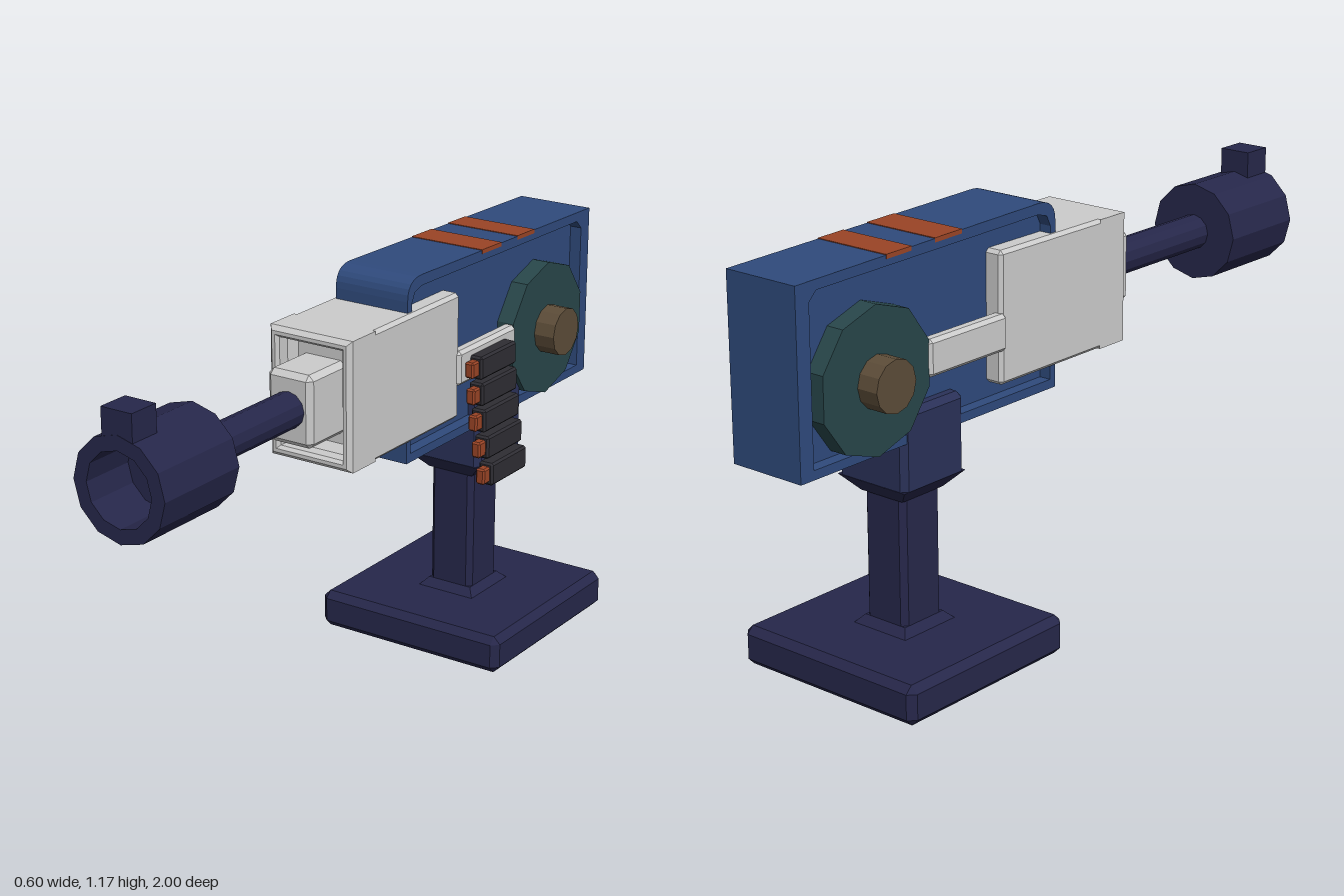
import * as THREE from 'three';
import { ConvexGeometry } from 'three/addons/geometries/ConvexGeometry.js';

const mat = (color) => new THREE.MeshStandardMaterial({ color, flatShading: true });

// Box with chamfered edges, given by its min/max on each axis
function chamferBox([x0, x1], [y0, y1], [z0, z1], c) {
  const half = [(x1 - x0) / 2, (y1 - y0) / 2, (z1 - z0) / 2];
  const pts = [];
  for (const sx of [-1, 1]) for (const sy of [-1, 1]) for (const sz of [-1, 1]) {
    for (let face = 0; face < 3; face++) {
      const h = half.map((v, i) => (i === face ? v : v - c));
      pts.push(new THREE.Vector3(sx * h[0], sy * h[1], sz * h[2]));
    }
  }
  return new ConvexGeometry(pts).translate((x0 + x1) / 2, (y0 + y1) / 2, (z0 + z1) / 2);
}

// Rectangular taper between two heights: half sizes [x, z] at each end
function taper(y0, [a0, b0], y1, [a1, b1], z) {
  const pts = [];
  for (const sx of [-1, 1]) for (const sz of [-1, 1]) {
    pts.push(new THREE.Vector3(sx * a0, y0, z + sz * b0), new THREE.Vector3(sx * a1, y1, z + sz * b1));
  }
  return new ConvexGeometry(pts);
}

// Closed outline from corner points
const outline = (pts, Type = THREE.Shape) => new Type(pts.map(([x, y]) => new THREE.Vector2(x, y)));

// Side profile (x = -z, y = y) extruded to a width centred on x = 0
function sideExtrude(shape, width) {
  const g = new THREE.ExtrudeGeometry(shape, { depth: width, bevelEnabled: false, curveSegments: 6 });
  return g.translate(0, 0, -width / 2).rotateY(Math.PI / 2);
}

export function createModel() {
  const root = new THREE.Group();
  const navy = mat(0x26274a), blue = mat(0x2f4a7c), orange = mat(0x9a4426);
  const white = mat(0xcccccc), teal = mat(0x28464a), brass = mat(0x5c4c38), dark = mat(0x2e2d33);
  const add = (name, geometry, material, parent = root) => {
    const mesh = new THREE.Mesh(geometry, material);
    mesh.name = name;
    parent.add(mesh);
    return mesh;
  };

  // Stand
  const standZ = -0.527;
  add('base', chamferBox([-0.3, 0.3], [0, 0.11], [-0.825, -0.23], 0.02), navy);
  add('postFoot', taper(0.105, [0.095, 0.1], 0.132, [0.07, 0.073], standZ), navy);
  add('post', chamferBox([-0.07, 0.07], [0.1, 0.53], [-0.6, -0.454], 0.015), navy);
  add('postCollar', taper(0.48, [0.072, 0.076], 0.525, [0.116, 0.115], standZ), navy);
  add('mountBlock', chamferBox([-0.117, 0.117], [0.51, 0.74], [-0.642, -0.412], 0.016), mat(0x2a3158));

  // Housing: rounded rim around a recessed core
  const rim = new THREE.Shape();
  rim.moveTo(0.05, 0.655);
  rim.lineTo(1, 0.655);
  rim.lineTo(1, 1.15);
  rim.lineTo(0.115, 1.17);
  rim.quadraticCurveTo(0.05, 1.17, 0.05, 1.11);
  rim.closePath();
  const recess = [[0.07, 0.68], [0.955, 0.68], [0.955, 1.1], [0.93, 1.125], [0.12, 1.14], [0.085, 1.13], [0.07, 1.1]];
  rim.holes.push(outline(recess, THREE.Path));
  add('housingRim', sideExtrude(rim, 0.23), blue);
  add('housingCore', sideExtrude(outline(recess), 0.16), blue);

  // Painted bands following the sloped top
  const topY = (z) => 1.17 - (-z - 0.115) * (0.02 / 0.885);
  for (const [z0, z1] of [[-0.69, -0.6], [-0.515, -0.415]]) {
    const band = outline([[-z1, topY(z1) - 0.01], [-z0, topY(z0) - 0.01], [-z0, topY(z0) + 0.002], [-z1, topY(z1) + 0.002]]);
    add('topBand', sideExtrude(band, 0.231), orange);
  }

  // Wheels and hubs on both sides
  const disc = (r, width, sides, turn) =>
    new THREE.CylinderGeometry(r, r, width, sides).rotateY(turn).rotateZ(Math.PI / 2);
  for (const s of [-1, 1]) {
    const side = new THREE.Group();
    side.name = s > 0 ? 'leftWheel' : 'rightWheel';
    side.position.set(s * 0.1, 0.855, -0.747);
    root.add(side);
    add('wheel', disc(0.196, 0.064, 10, Math.PI / 2), teal, side);
    add('hub', disc(0.07, 0.19, 12, 0), brass, side);
    add('guideBar', chamferBox([-0.14, 0.14].map((v) => v / 7 + s * 0.12), [0.815, 0.915], [-0.565, -0.27], 0.01), white);
  }

  // Receiver: solid rear with an open bevelled front frame
  add('receiver', chamferBox([-0.13, 0.13], [0.72, 1.08], [-0.285, 0.17], 0.01), white);
  const rect = (w, y0, y1) => [[-w, y0], [w, y0], [w, y1], [-w, y1]];
  const frame = outline(rect(0.118, 0.732, 1.068));
  frame.holes.push(outline(rect(0.112, 0.738, 1.062).reverse(), THREE.Path));
  // Nested rectangular rings: outer wall, front lip, sloped inner wall
  const rings = [[0.13, 0.12], [0.13, 0.222], [0.118, 0.235], [0.108, 0.235], [0.1, 0.225], [0.1, 0.19], [0.075, 0.165]];
  const pos = [], index = [];
  rings.forEach(([w, z], i) => {
    const h = w + 0.05;
    pos.push(-w, 0.9 - h, z, w, 0.9 - h, z, w, 0.9 + h, z, -w, 0.9 + h, z);
    if (i) for (let k = 0; k < 4; k++) {
      const a = (i - 1) * 4 + k, b = (i - 1) * 4 + ((k + 1) % 4);
      index.push(a, b, b + 4, a, b + 4, a + 4);
    }
  });
  const frameGeo = new THREE.BufferGeometry();
  frameGeo.setAttribute('position', new THREE.Float32BufferAttribute(pos, 3));
  frameGeo.setIndex(index);
  const flatFrame = frameGeo.toNonIndexed();
  flatFrame.computeVertexNormals();
  const frameMat = mat(0xcccccc);
  frameMat.side = THREE.DoubleSide;
  add('receiverFrame', flatFrame, frameMat);
  add('barrelSocket', chamferBox([-0.07, 0.07], [0.8, 1], [0.14, 0.325], 0.015), white);

  // Barrel with hollow muzzle and sight
  add('barrel', new THREE.CylinderGeometry(0.05, 0.05, 0.5, 12).rotateX(Math.PI / 2).translate(0, 0.9, 0.53), navy);
  const muzzle = [[0, 0], [0.14, 0], [0.14, 0.285], [0.1, 0.285], [0.1, 0.13], [0, 0.13]].map(([r, y]) => new THREE.Vector2(r, y));
  add('muzzle', new THREE.LatheGeometry(muzzle, 12).rotateX(Math.PI / 2).translate(0, 0.9, 0.715), navy);
  add('frontSight', new THREE.BoxGeometry(0.094, 0.09, 0.09).translate(0, 1.057, 0.954), navy);

  // Hanging belt of cartridges on the left side
  for (let i = 0; i < 5; i++) {
    const round = new THREE.Group();
    round.name = 'cartridge';
    round.position.set(0.154 + 0.003 * i + 0.0018 * i * i, 0.858 - 0.0755 * i, 0);
    root.add(round);
    add('casing', chamferBox([-0.023, 0.023], [-0.033, 0.033], [-0.507, -0.325], 0.006), dark, round);
    add('tip', chamferBox([-0.014, 0.014], [-0.023, 0.023], [-0.34, -0.295], 0.005), orange, round);
  }
  return root;
}
